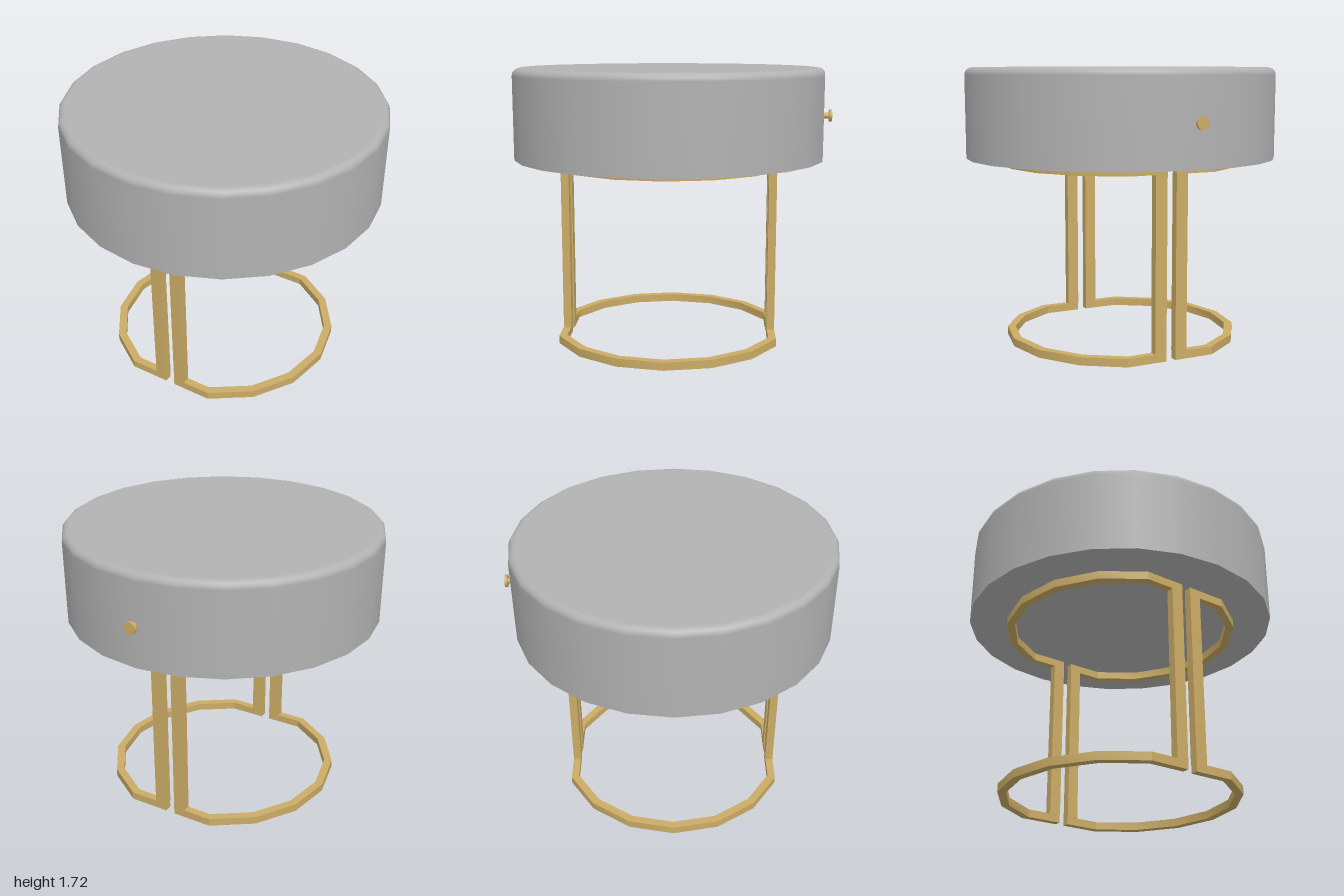
import * as THREE from 'three';
import { toCreasedNormals } from 'three/addons/utils/BufferGeometryUtils.js';

const CENTER_Z = 0.02;
const SEAT_BOTTOM = 1.16, SEAT_TOP = 1.72, SEAT_RADIUS = 0.973;
const RING_RADIUS = 0.737, BAR = 0.05, GAP = 0.03, LEG_WIDTH = 0.075;

const fabric = new THREE.MeshStandardMaterial({ name: 'grey fabric', color: 0xb2b2b2 });
const brass = new THREE.MeshStandardMaterial({ name: 'brass', color: 0xcbac66 });

function add(parent, name, geometry, material, x = 0, y = 0, z = 0) {
  const mesh = new THREE.Mesh(geometry, material);
  mesh.name = name;
  mesh.position.set(x, y, z);
  parent.add(mesh);
  return mesh;
}

// Half of a sixteen-sided ring whose ends run straight to the gap
function halfRing(side) {
  const outer = [], inner = [];
  const innerRadius = RING_RADIUS - BAR / Math.cos(Math.PI / 16);
  const point = (r, a) => new THREE.Vector2(side * r * Math.cos(a), r * Math.sin(a));
  for (let i = -3; i <= 3; i++) {
    const a = (i * Math.PI) / 8;
    outer.push(point(RING_RADIUS, a));
    inner.push(point(innerRadius, a));
  }
  for (const list of [outer, inner]) {
    const endZ = list[6].y;
    list.unshift(new THREE.Vector2(side * GAP, -endZ));
    list.push(new THREE.Vector2(side * GAP, endZ));
  }
  const shape = new THREE.Shape([...outer, ...inner.reverse()]);
  const geometry = new THREE.ExtrudeGeometry(shape, { depth: BAR, bevelEnabled: false });
  geometry.rotateX(-Math.PI / 2);
  return toCreasedNormals(geometry, Math.PI / 6);
}

export function createModel() {
  const model = new THREE.Group();
  model.name = 'stool';
  const body = new THREE.Group();
  body.name = 'stoolBody';
  body.position.z = CENTER_Z;
  model.add(body);

  // Round cushion with a softened top edge
  const profile = [new THREE.Vector2(SEAT_RADIUS, SEAT_BOTTOM)];
  const round = 0.045;
  for (let i = 0; i <= 4; i++) {
    const a = (i * Math.PI) / 8;
    profile.push(new THREE.Vector2(
      SEAT_RADIUS - round + round * Math.cos(a), SEAT_TOP - round + round * Math.sin(a)));
  }
  profile.push(new THREE.Vector2(0, SEAT_TOP));
  add(body, 'seatCushion', new THREE.LatheGeometry(profile, 24), fabric);
  const underside = new THREE.CircleGeometry(SEAT_RADIUS, 24).rotateX(Math.PI / 2);
  add(body, 'seatUnderside', underside, fabric, 0, SEAT_BOTTOM, 0);

  // Two mirrored frames: upper and lower half rings joined by flat legs
  const legHeight = SEAT_BOTTOM - 2 * BAR;
  const legZ = RING_RADIUS * Math.sin((3 * Math.PI) / 8) - BAR / 2;
  for (const side of [1, -1]) {
    const frame = new THREE.Group();
    frame.name = side > 0 ? 'leftFrame' : 'rightFrame';
    body.add(frame);
    const ring = halfRing(side);
    add(frame, 'baseHalfRing', ring, brass);
    add(frame, 'upperHalfRing', ring, brass, 0, SEAT_BOTTOM - BAR, 0);
    for (const end of [1, -1]) {
      add(frame, end > 0 ? 'frontLeg' : 'backLeg',
        new THREE.BoxGeometry(LEG_WIDTH, legHeight, BAR), brass,
        side * (GAP + LEG_WIDTH / 2), SEAT_BOTTOM / 2, end * legZ);
    }
  }

  // Small knob on the back of the cushion
  const knob = new THREE.Group();
  knob.name = 'knob';
  knob.position.y = 1.42;
  model.add(knob);
  const stem = new THREE.CylinderGeometry(0.018, 0.018, 0.05, 16).rotateX(Math.PI / 2);
  add(knob, 'knobStem', stem, brass, 0, 0, -0.962);
  const head = new THREE.CylinderGeometry(0.038, 0.038, 0.016, 16).rotateX(Math.PI / 2);
  add(knob, 'knobHead', head, brass, 0, 0, -0.992);

  return model;
}
